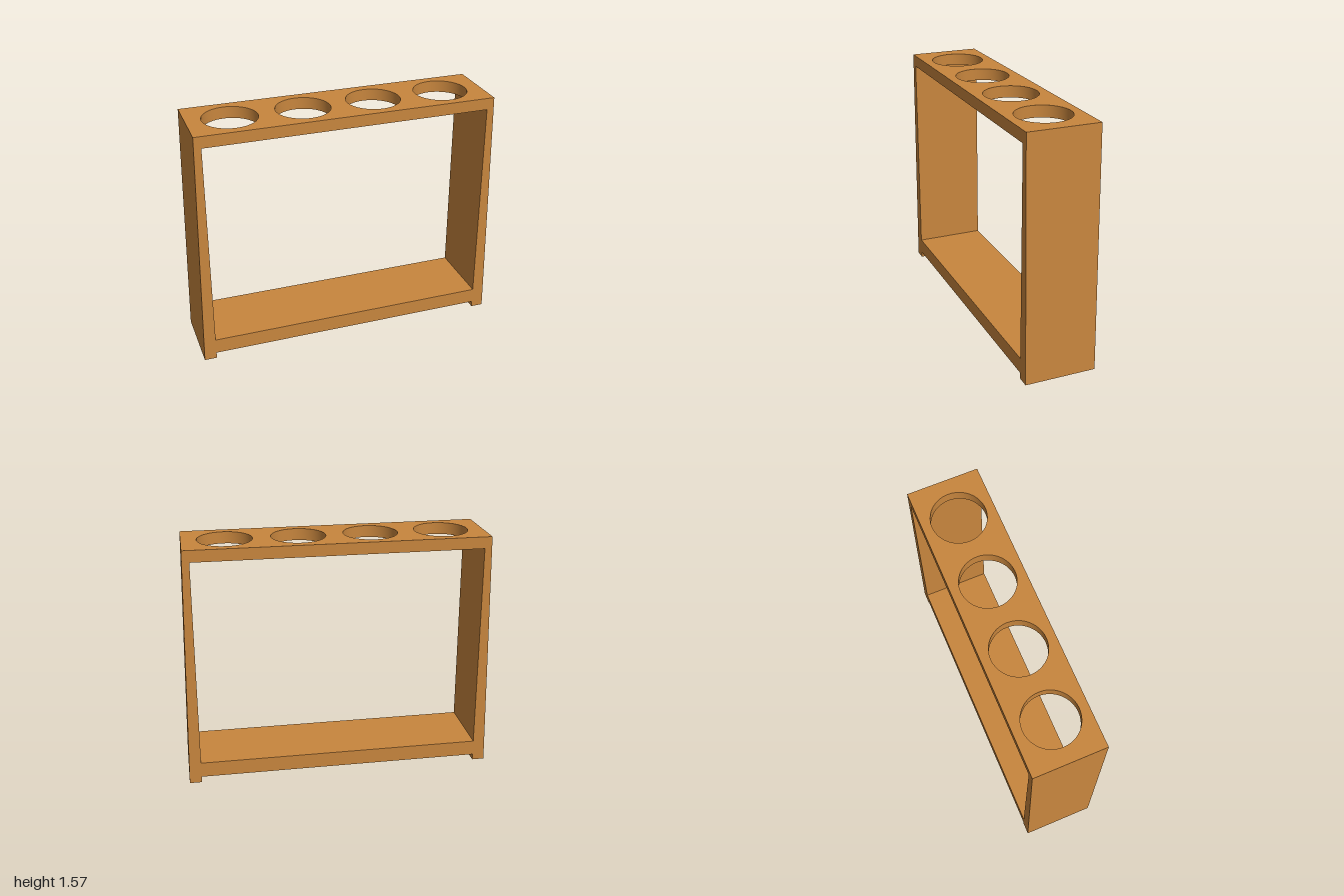
import * as THREE from 'three';
import { toCreasedNormals } from 'three/addons/utils/BufferGeometryUtils.js';

const DEPTH = 0.464;
const HEIGHT = 1.57;
const INNER = 0.92; // half the clear width between the side panels

export function createModel() {
  const group = new THREE.Group();
  const wood = new THREE.MeshStandardMaterial({ color: 0xc8863e });

  const add = (name, geometry) => {
    const mesh = new THREE.Mesh(geometry, wood);
    mesh.name = name;
    group.add(mesh);
    return mesh;
  };

  // Side panels: upright inside, tapering outside, standing below the shelf as feet
  for (const [name, s] of [['leftSide', 1], ['rightSide', -1]]) {
    const outline = new THREE.Shape([
      new THREE.Vector2(s * INNER, 0),
      new THREE.Vector2(s * 1, 0),
      new THREE.Vector2(s * 0.965, HEIGHT),
      new THREE.Vector2(s * INNER, HEIGHT),
    ]);
    const geometry = new THREE.ExtrudeGeometry(outline, { depth: DEPTH, bevelEnabled: false });
    add(name, geometry.translate(0, 0, -DEPTH / 2));
  }

  // Bottom shelf
  add('bottomShelf', new THREE.BoxGeometry(2 * INNER, 0.1, DEPTH)).position.y = 0.09;

  // Top rack with four round holes
  const thickness = 0.076;
  const plate = new THREE.Shape([
    new THREE.Vector2(-INNER, -DEPTH / 2),
    new THREE.Vector2(INNER, -DEPTH / 2),
    new THREE.Vector2(INNER, DEPTH / 2),
    new THREE.Vector2(-INNER, DEPTH / 2),
  ]);
  for (let i = 0; i < 4; i++) {
    const hole = new THREE.Path();
    hole.absarc((i - 1.5) * 0.462, 0, 0.174, 0, Math.PI * 2, true);
    plate.holes.push(hole);
  }
  const rack = new THREE.ExtrudeGeometry(plate, {
    depth: thickness, bevelEnabled: false, curveSegments: 24,
  });
  rack.rotateX(-Math.PI / 2).translate(0, HEIGHT - thickness, 0);
  add('topRack', toCreasedNormals(rack, 0.6));

  return group;
}
